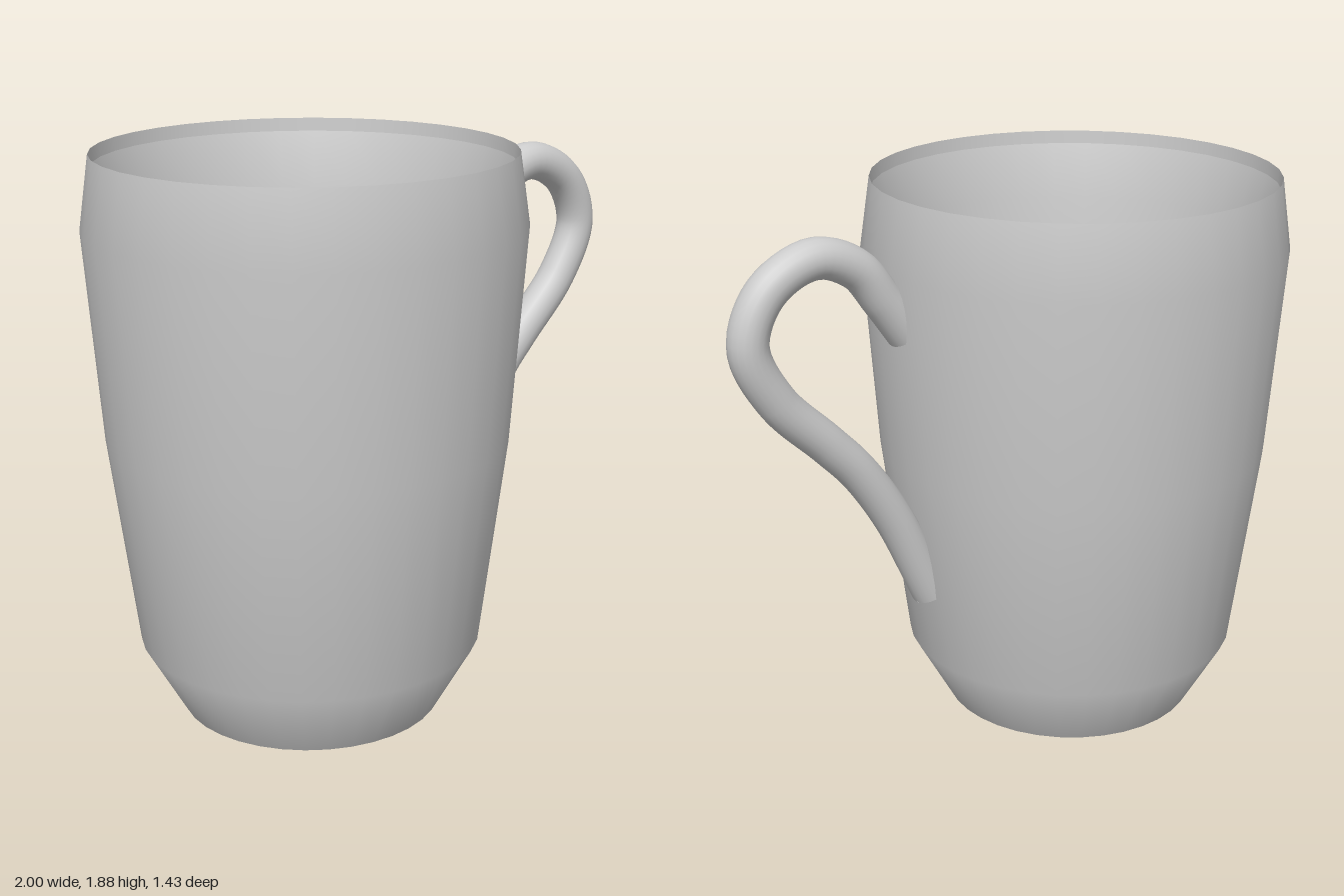
import * as THREE from 'three';

const CUP_X = -0.285, SEGMENTS = 36, HANDLE_RADIUS = 0.066;

export function createModel() {
  const group = new THREE.Group();
  const material = new THREE.MeshStandardMaterial({ color: 0xcccccc, side: THREE.DoubleSide });

  const add = (name, geometry, parent = group) => {
    const mesh = new THREE.Mesh(geometry, material);
    mesh.name = name;
    parent.add(mesh);
    return mesh;
  };
  const vectors = (points) => points.map(([x, y]) => new THREE.Vector2(x, y));

  // Cup: turned sections, kept separate so the rim and foot edges stay sharp
  const cup = new THREE.Group();
  cup.name = 'cup';
  cup.position.x = CUP_X;
  group.add(cup);
  const sections = {
    outerWall: [[0.44, 0], [0.575, 0.24], [0.665, 0.95], [0.715, 1.64], [0.68, 1.88]],
    rimLip: [[0.68, 1.88], [0.677, 1.835]],
    innerWall: [[0.677, 1.835], [0.63, 1.65], [0.615, 1.4], [0.57, 0.95], [0.49, 0.28], [0.43, 0.12], [0, 0.1]],
    footLip: [[0.435, 0.045], [0.44, 0]],
    base: [[0, 0.045], [0.435, 0.045]],
  };
  for (const [name, points] of Object.entries(sections)) {
    add(name, new THREE.LatheGeometry(vectors(points), SEGMENTS), cup);
  }

  // Handle: round tube along an ear-shaped curve
  const path = new THREE.CatmullRomCurve3([
    [0.378, 1.449], [0.46, 1.565], [0.555, 1.685], [0.70, 1.739], [0.865, 1.66],
    [0.934, 1.5], [0.85, 1.31], [0.675, 1.127], [0.572, 1.015], [0.444, 0.82], [0.302, 0.515],
  ].map(([x, y]) => new THREE.Vector3(x, y, 0)));
  const handle = new THREE.Group();
  handle.name = 'handle';
  group.add(handle);
  add('handleTube', new THREE.TubeGeometry(path, 72, HANDLE_RADIUS, 20), handle);

  // Flat end caps facing out along the path
  for (const [name, t, sign] of [['handleTopEnd', 0, -1], ['handleBottomEnd', 1, 1]]) {
    const cap = add(name, new THREE.CircleGeometry(HANDLE_RADIUS, 20), handle);
    cap.position.copy(path.getPointAt(t));
    cap.quaternion.setFromUnitVectors(
      new THREE.Vector3(0, 0, 1), path.getTangentAt(t).multiplyScalar(sign));
  }

  return group;
}
